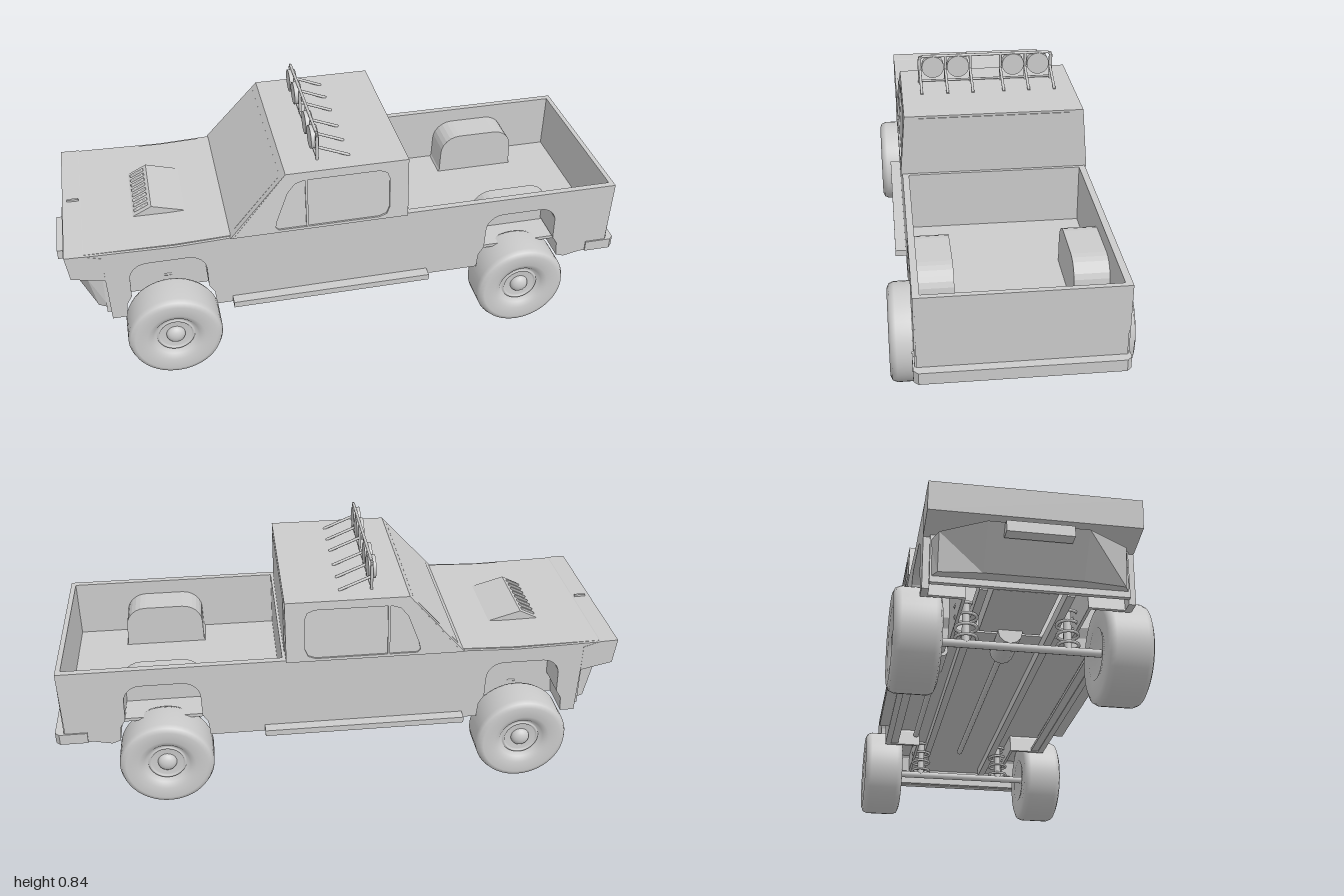
import * as THREE from 'three';
import { RoundedBoxGeometry } from 'three/addons/geometries/RoundedBoxGeometry.js';

export function createModel() {
  const truck = new THREE.Group();
  const mat = new THREE.MeshStandardMaterial({ color: 0xcccccc, side: THREE.DoubleSide });
  const V = (x, y, z) => new THREE.Vector3(x, y, z);

  const add = (name, geo, x = 0, y = 0, z = 0, parent = truck) => {
    const m = new THREE.Mesh(geo, mat);
    m.name = name;
    m.position.set(x, y, z);
    parent.add(m);
    return m;
  };
  // box given by its limits
  const box = (name, x0, x1, y0, y1, z0, z1) =>
    add(name, new THREE.BoxGeometry(x1 - x0, y1 - y0, z1 - z0), (x0 + x1) / 2, (y0 + y1) / 2, (z0 + z1) / 2);
  const shape = pts => new THREE.Shape(pts.map(p => new THREE.Vector2(...p)));
  // side profile (x, y) extruded from z0 to z1
  const side = (pts, z0, z1, holes = []) => {
    const s = shape(pts);
    s.holes = holes.map(shape);
    return new THREE.ExtrudeGeometry(s, { depth: z1 - z0, bevelEnabled: false }).translate(0, 0, z0);
  };
  // plan outline (x, z) extruded from y0 to y1
  const plan = (pts, y0, y1) =>
    new THREE.ExtrudeGeometry(shape(pts), { depth: y1 - y0, bevelEnabled: false }).rotateX(Math.PI / 2).translate(0, y1, 0);
  const rod = (name, a, b, r) => {
    const d = b.clone().sub(a);
    const m = add(name, new THREE.CylinderGeometry(r, r, d.length(), 12));
    m.position.copy(a).add(b).multiplyScalar(0.5);
    m.quaternion.setFromUnitVectors(V(0, 1, 0), d.normalize());
    return m;
  };
  // move vertices by a rule
  const bend = (geo, rule) => {
    const p = geo.attributes.position, v = V(0, 0, 0);
    for (let i = 0; i < p.count; i++) {
      rule(v.fromBufferAttribute(p, i));
      p.setXYZ(i, v.x, v.y, v.z);
    }
    geo.computeVertexNormals();
    return geo;
  };
  const span = (s, a, b) => (s > 0 ? [a, b] : [-b, -a]);

  // wheel arch opening, left to right, grown by o
  const arch = (cx, o = 0) => {
    const pts = [[-0.155 - o, 0.235], [-0.15 - o, 0.29], [-0.132 - o, 0.32]];
    for (let i = 0; i <= 6; i++) {
      const a = Math.PI - (i * Math.PI) / 12, r = 0.06 + o;
      pts.push([-0.07 + r * Math.cos(a), 0.395 + r * Math.sin(a)]);
    }
    return [...pts, ...pts.slice().reverse().map(([x, y]) => [-x, y])].map(([x, y]) => [cx + x, y]);
  };
  const frontX = -0.63, rearX = 0.625;

  // body sides
  const bodySide = [
    [-0.835, 0.235], ...arch(frontX), ...arch(rearX), [0.81, 0.225], [0.87, 0.238], [0.965, 0.24],
    [0.97, 0.52], [0.2, 0.52], [-0.41, 0.515], [-0.6, 0.508], [-0.96, 0.518], [-0.95, 0.43], [-0.84, 0.405]
  ];
  // cab upper side with window opening, leaning inwards
  const cabSide = [[-0.405, 0.515], [0.2, 0.515], [0.2, 0.735], [-0.22, 0.735]];
  const windowOutline = [
    [-0.25, 0.525], [0.1, 0.525], [0.125, 0.535], [0.135, 0.56], [0.135, 0.67], [0.125, 0.695], [0.1, 0.705],
    [-0.16, 0.705], [-0.19, 0.695], [-0.215, 0.665], [-0.255, 0.56], [-0.26, 0.535]
  ];
  const lean = s => v => { v.z -= s * (v.y - 0.515) * 0.085; };

  for (const s of [1, -1]) {
    add('bodySide', side(bodySide, ...span(s, 0.298, 0.32)));
    add('cabSide', bend(side(cabSide, ...span(s, 0.305, 0.326), [windowOutline]), lean(s)));
    add('sideWindow', bend(side(windowOutline, ...span(s, 0.308, 0.32)), lean(s)));
    const post = add('windowPost', bend(side([[-0.155, 0.525], [-0.147, 0.525], [-0.147, 0.705], [-0.155, 0.705]],
      ...span(s, 0.31, 0.325)), lean(s)));
    post.castShadow = true;
    box('runningBoard', -0.42, 0.28, 0.238, 0.26, ...span(s, 0.31, 0.357));
    // hollow wheel tubs
    for (const cx of [frontX, rearX]) {
      add('wheelTub', side([...arch(cx), ...arch(cx, 0.012).reverse()], ...span(s, 0.19, 0.3)));
      add('wheelTubWall', side(arch(cx, 0.012), ...span(s, 0.185, 0.195)));
    }
    box('frameRail', -0.8, 0.9, 0.265, 0.3, ...span(s, 0.12, 0.145));
    box('sill', -0.44, 0.46, 0.238, 0.25, ...span(s, 0.27, 0.31));
  }

  // cab shell: windscreen, roof and rear wall
  const shell = [
    [-0.415, 0.515], [-0.22, 0.735], [0.2, 0.735], [0.2, 0.31],
    [0.188, 0.31], [0.188, 0.722], [-0.214, 0.722], [-0.397, 0.515]
  ];
  add('cabShell', bend(side(shell, -0.325, 0.325), v => {
    if (v.y > 0.515) v.z -= Math.sign(v.z) * (v.y - 0.515) * 0.085;
    if (v.y < 0.5) v.z *= 0.94;
  }));
  add('windscreen', bend(side([[-0.392, 0.535], [-0.234, 0.7135], [-0.236, 0.7175], [-0.396, 0.538]], -0.3, 0.3), v => {
    v.z *= 1 - (v.y - 0.535) * 0.3;
  }));
  add('rearWindow', bend(new THREE.BoxGeometry(0.006, 0.205, 0.53).translate(0.2, 0.625, 0), v => {
    v.z *= 1 - (v.y - 0.52) * 0.13;
  }));

  // hood, nose and firewall
  add('hood', side([[-0.955, 0.518], [-0.6, 0.512], [-0.41, 0.518], [-0.41, 0.505], [-0.6, 0.499], [-0.955, 0.5]], -0.31, 0.31));
  add('nose', side([[-0.961, 0.52], [-0.95, 0.43], [-0.84, 0.405], [-0.84, 0.5], [-0.9, 0.518]], -0.321, 0.321));
  box('grilleWall', -0.85, -0.835, 0.25, 0.42, -0.3, 0.3);
  box('firewall', -0.45, -0.435, 0.3, 0.51, -0.3, 0.3);
  box('hoodOrnament', -0.945, -0.905, 0.515, 0.526, -0.004, 0.004);
  add('hoodScoop', bend(side([[-0.73, 0.512], [-0.66, 0.547], [-0.54, 0.512]], -0.13, 0.13), () => {}));
  for (let i = 0; i < 8; i++) {
    const slat = add('hoodLouver', new RoundedBoxGeometry(0.055, 0.008, 0.012, 2, 0.003), -0.695, 0.532, -0.105 + i * 0.03);
    slat.rotation.z = 0.46;
  }

  // load bed and floor
  box('floor', -0.44, 0.965, 0.3, 0.312, -0.3, 0.3);
  box('tailgate', 0.953, 0.97, 0.24, 0.52, -0.315, 0.315);
  box('bedFrontWall', 0.2, 0.212, 0.31, 0.52, -0.3, 0.3);

  // bumpers
  add('rearBumper', plan([
    [0.89, 0.325], [0.985, 0.325], [1, 0.31], [1, -0.31], [0.985, -0.325], [0.89, -0.325],
    [0.89, -0.31], [0.968, -0.31], [0.968, 0.31], [0.89, 0.31]
  ], 0.238, 0.278));
  add('frontBumper', bend(plan([
    [-0.84, 0.3], [-0.9, 0.28], [-0.98, 0.15], [-0.98, -0.15], [-0.9, -0.28], [-0.84, -0.3]
  ], 0.27, 0.39), v => { if (v.x < -0.85) v.x += (0.39 - v.y) * (v.x < -0.95 ? 0.75 : 0.2); }));
  box('winchMount', -1, -0.96, 0.35, 0.385, -0.1, 0.1);

  // wheels
  const tyre = [
    [0, -0.055], [0.07, -0.055], [0.082, -0.073], [0.14, -0.073], [0.156, -0.066], [0.163, -0.05],
    [0.163, 0.05], [0.156, 0.066], [0.14, 0.073], [0.1, 0.07], [0.08, 0.06], [0.068, 0.045],
    [0.064, 0.052], [0.058, 0.052], [0.054, 0.045], [0, 0.045]
  ].map(p => new THREE.Vector2(...p));
  for (const cx of [frontX, rearX]) {
    for (const s of [1, -1]) {
      const wheel = new THREE.Group();
      wheel.name = 'wheel';
      wheel.position.set(cx, 0.165, s * 0.32);
      wheel.rotation.y = s > 0 ? 0 : Math.PI;
      add('tyre', new THREE.LatheGeometry(tyre, 48).rotateX(Math.PI / 2), 0, 0, 0, wheel);
      add('hubCap', new THREE.SphereGeometry(0.033, 24, 12).scale(1, 1, 0.7), 0, 0, 0.045, wheel);
      truck.add(wheel);
      // coil spring and damper
      rod('damper', V(cx, 0.17, s * 0.16), V(cx, 0.31, s * 0.16), 0.013);
      for (let i = 0; i < 4; i++)
        add('springCoil', new THREE.TorusGeometry(0.034, 0.005, 8, 24).rotateX(Math.PI / 2), cx, 0.185 + i * 0.036, s * 0.16);
    }
    rod('axle', V(cx, 0.167, -0.27), V(cx, 0.167, 0.27), 0.013);
  }

  // driveline and exhaust
  rod('gearbox', V(-0.52, 0.275, 0), V(-0.36, 0.275, 0), 0.04);
  rod('driveShaft', V(-0.4, 0.275, 0), V(0.62, 0.275, 0), 0.011);
  rod('exhaust', V(-0.4, 0.275, -0.2), V(0.45, 0.275, -0.2), 0.011);
  rod('muffler', V(-0.35, 0.275, -0.2), V(-0.2, 0.275, -0.2), 0.022);
  box('engine', -0.78, -0.5, 0.28, 0.45, -0.1, 0.1);

  // roof light bar
  const bx = -0.1;
  const hoop = [[-0.24, 0.735], [-0.24, 0.825], [-0.23, 0.835], [0.23, 0.835], [0.24, 0.825], [0.24, 0.735]];
  for (let i = 0; i < 5; i++)
    rod('lightBar', V(bx, hoop[i][1], hoop[i][0]), V(bx, hoop[i + 1][1], hoop[i + 1][0]), 0.005);
  rod('lightBarBase', V(bx, 0.742, -0.24), V(bx, 0.742, 0.24), 0.004);
  for (const s of [1, -1]) {
    for (const z of [0.055, 0.145, 0.237]) {
      rod('lightBarPost', V(bx, 0.735, s * z), V(bx, 0.835, s * z), 0.005);
      rod('lightBarBrace', V(bx, 0.782, s * z), V(0.012, 0.735, s * z), 0.005);
    }
    for (const z of [0.1, 0.191])
      add('roofLamp', new THREE.CylinderGeometry(0.04, 0.04, 0.026, 28).rotateZ(Math.PI / 2), bx - 0.004, 0.795, s * z);
  }
  return truck;
}
